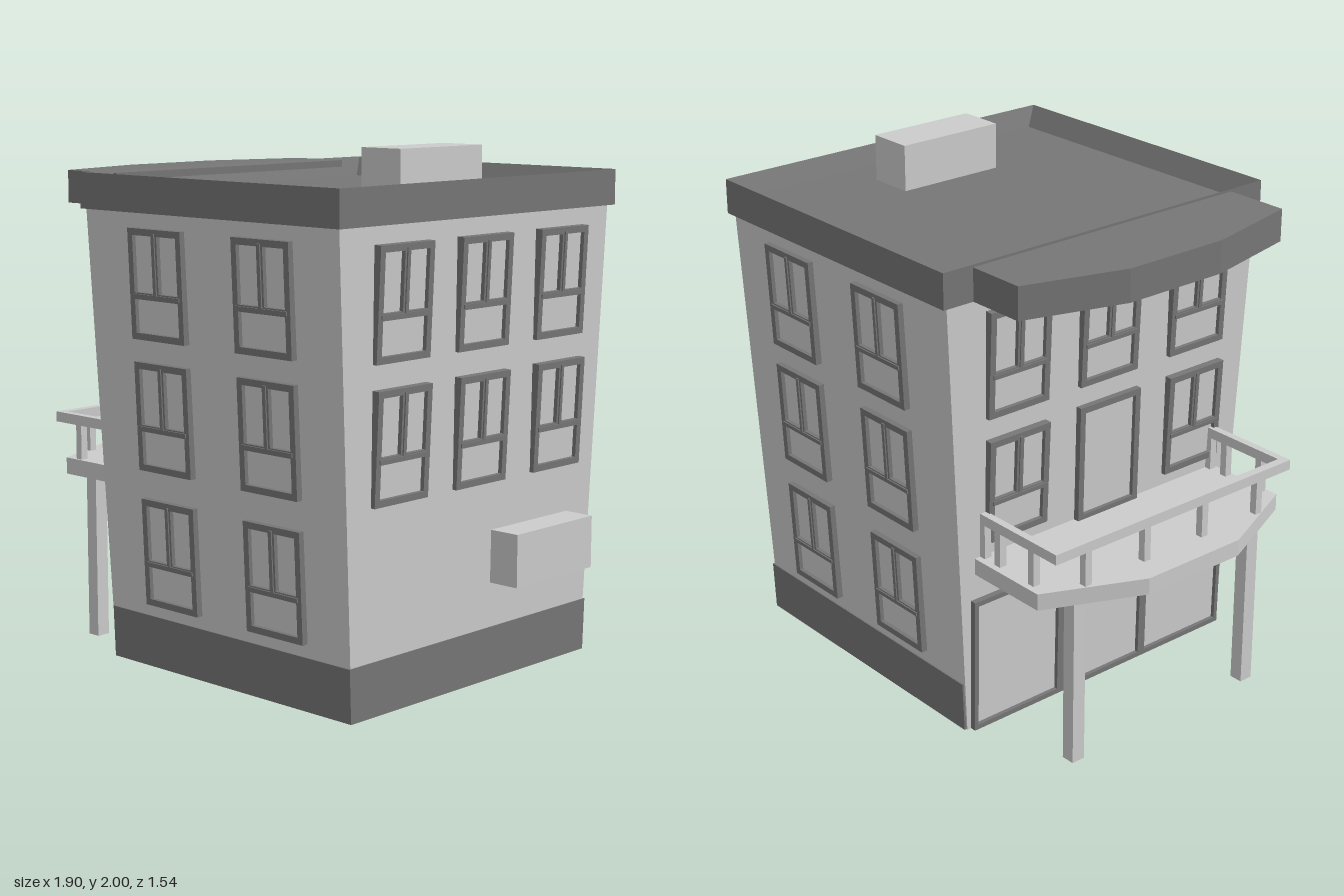
import * as THREE from 'three';

const light = new THREE.MeshStandardMaterial({ color: 0xcccccc, flatShading: true });
const shell = new THREE.MeshStandardMaterial({ color: 0xcccccc, flatShading: true, side: THREE.DoubleSide });
const dark = new THREE.MeshStandardMaterial({ color: 0x767676, flatShading: true });

function add(parent, name, geometry, material) {
  const mesh = new THREE.Mesh(geometry, material);
  mesh.name = name;
  parent.add(mesh);
  return mesh;
}

// Box given by its limits along each axis
function box(parent, name, x0, x1, y0, y1, z0, z1, material = light) {
  const mesh = add(parent, name, new THREE.BoxGeometry(x1 - x0, y1 - y0, z1 - z0), material);
  mesh.position.set((x0 + x1) / 2, (y0 + y1) / 2, (z0 + z1) / 2);
  return mesh;
}

// Skin through rectangular rings [x0, x1, half depth, y]
function rings(list) {
  const loops = list.map(([x0, x1, z, y]) => [[x0, y, z], [x1, y, z], [x1, y, -z], [x0, y, -z]]);
  const pos = [];
  for (let i = 0; i + 1 < loops.length; i++) {
    for (let j = 0; j < 4; j++) {
      const k = (j + 1) % 4;
      const [a, b, c, d] = [loops[i][j], loops[i][k], loops[i + 1][k], loops[i + 1][j]];
      pos.push(...a, ...b, ...c, ...a, ...c, ...d);
    }
  }
  const g = new THREE.BufferGeometry();
  g.setAttribute('position', new THREE.Float32BufferAttribute(pos, 3));
  g.computeVertexNormals();
  return g;
}

// Horizontal slab from an (x, z) outline
function slab(outline, y0, y1) {
  const shape = new THREE.Shape(outline.map(([x, z]) => new THREE.Vector2(x, -z)));
  const g = new THREE.ExtrudeGeometry(shape, { depth: y1 - y0, bevelEnabled: false });
  return g.rotateX(-Math.PI / 2).translate(0, y0, 0);
}

function rect(Type, x0, x1, y0, y1) {
  return new Type([[x0, y0], [x1, y0], [x1, y1], [x0, y1]].map(p => new THREE.Vector2(...p)));
}

// Frame with openings [x0, x1, y0, y1] and a pane behind, facing +z
function framed(name, w, h, openings) {
  const group = new THREE.Group();
  group.name = name;
  const shape = rect(THREE.Shape, -w / 2, w / 2, -h / 2, h / 2);
  shape.holes = openings.map(o => rect(THREE.Path, ...o));
  const g = new THREE.ExtrudeGeometry(shape, { depth: 0.034, bevelEnabled: false });
  add(group, 'frame', g.translate(0, 0, -0.01), dark);
  add(group, 'pane', new THREE.PlaneGeometry(w - 0.02, h - 0.02), light).position.z = 0.008;
  return group;
}

function makeWindow() {
  const w = framed('window', 0.28, 0.41, [
    [-0.115, 0.115, -0.18, -0.055],
    [-0.115, -0.015, -0.03, 0.18],
    [0.015, 0.115, -0.03, 0.18],
  ]);
  // Raised sill bar and centre mullion
  box(w, 'crossbar', -0.125, 0.125, -0.05, -0.035, 0, 0.029, dark);
  box(w, 'mullion', -0.006, 0.006, -0.035, 0.19, 0, 0.029, dark);
  return w;
}

export function createModel() {
  const model = new THREE.Group();
  model.name = 'apartmentBuilding';

  // Flared walls, open below, and the dark plinth
  add(model, 'walls', rings([[-0.42, 0.82, 0.655, 0.03], [-0.45, 0.84, 0.745, 1.77]]), shell);
  add(model, 'plinth', rings([[-0.415, 0.818, 0.655, 0.03], [-0.415, 0.826, 0.664, 0.03],
    [-0.415, 0.826, 0.672, 0.23], [-0.415, 0.82, 0.66, 0.23]]), dark);

  // Roof: parapet sloping in to a flat deck, chimney and side canopy
  add(model, 'parapet', rings([[-0.44, 0.83, 0.73, 1.76], [-0.46, 0.86, 0.765, 1.76],
    [-0.46, 0.86, 0.765, 1.895], [-0.42, 0.82, 0.705, 1.82]]), dark);
  box(model, 'roofDeck', -0.425, 0.825, 1.78, 1.82, -0.71, 0.71, dark);
  box(model, 'chimney', 0.485, 0.67, 1.81, 2, -0.2, 0.25);
  add(model, 'canopy', slab([[-0.44, 0.605], [-0.44, -0.635], [-0.695, -0.635],
    [-0.815, -0.235], [-0.815, 0.2], [-0.72, 0.605]], 1.76, 1.885), dark);

  // Places an item on a face: u runs to the right as seen from outside
  const faces = {
    front: [0, 0.655, 0.745], back: [Math.PI, 0.655, 0.745],
    left: [Math.PI / 2, 0.82, 0.84], right: [-Math.PI / 2, 0.42, 0.45],
  };
  const place = (item, face, u, y, tilt = 0.045) => {
    const [turn, low, high] = faces[face];
    const holder = new THREE.Group();
    holder.name = face + 'Opening';
    holder.rotation.y = turn;
    item.position.set(u, y, low + (high - low) * (y - 0.03) / 1.74);
    item.rotation.x = tilt;
    holder.add(item);
    model.add(holder);
  };

  // Windows on all four sides
  for (const y of [0.485, 1.005, 1.5]) {
    for (const x of [-0.06, 0.48]) {
      place(makeWindow(), 'front', x, y);
      place(makeWindow(), 'back', -x, y);
    }
  }
  for (const u of [-0.43, 0.005, 0.45]) {
    for (const y of [0.99, 1.49]) place(makeWindow(), 'left', u, y);
    place(makeWindow(), 'right', u, 1.5);
    if (Math.abs(u) > 0.1) place(makeWindow(), 'right', u, 1.005);
  }

  // Balcony door and ground floor panels
  place(framed('balconyDoor', 0.3, 0.47, [[-0.125, 0.125, -0.21, 0.21]]), 'right', 0.01, 0.98, 0.02);
  for (const u of [-0.425, 0, 0.425]) {
    place(framed('groundPanel', 0.425, 0.55, [[-0.195, 0.195, -0.255, 0.255]]), 'right', u, 0.305, 0.017);
  }

  // Wall unit
  box(model, 'wallUnit', 0.82, 0.95, 0.4, 0.6, -0.54, -0.09);

  // Balcony slab on two pillars
  add(model, 'balconySlab', slab([[-0.43, 0.59], [-0.43, -0.62], [-0.78, -0.62],
    [-0.95, -0.24], [-0.95, 0.21], [-0.78, 0.59]], 0.685, 0.75), light);
  for (const z of [-0.445, 0.435]) {
    box(model, 'pillar', -0.81, -0.755, 0, 0.69, z - 0.028, z + 0.028);
  }

  // Railing and posts
  box(model, 'outerRail', -0.85, -0.815, 0.885, 0.925, -0.595, 0.58);
  for (const z of [-0.595, 0.55]) {
    box(model, 'sideRail', -0.82, -0.43, 0.885, 0.925, z, z + 0.03);
    for (const x of [-0.715, -0.53, -0.445]) {
      box(model, 'railPost', x - 0.015, x + 0.015, 0.745, 0.89, z, z + 0.03);
    }
  }
  for (const z of [-0.44, -0.155, 0.135, 0.42]) {
    box(model, 'railPost', -0.848, -0.818, 0.745, 0.89, z - 0.015, z + 0.015);
  }
  return model;
}
